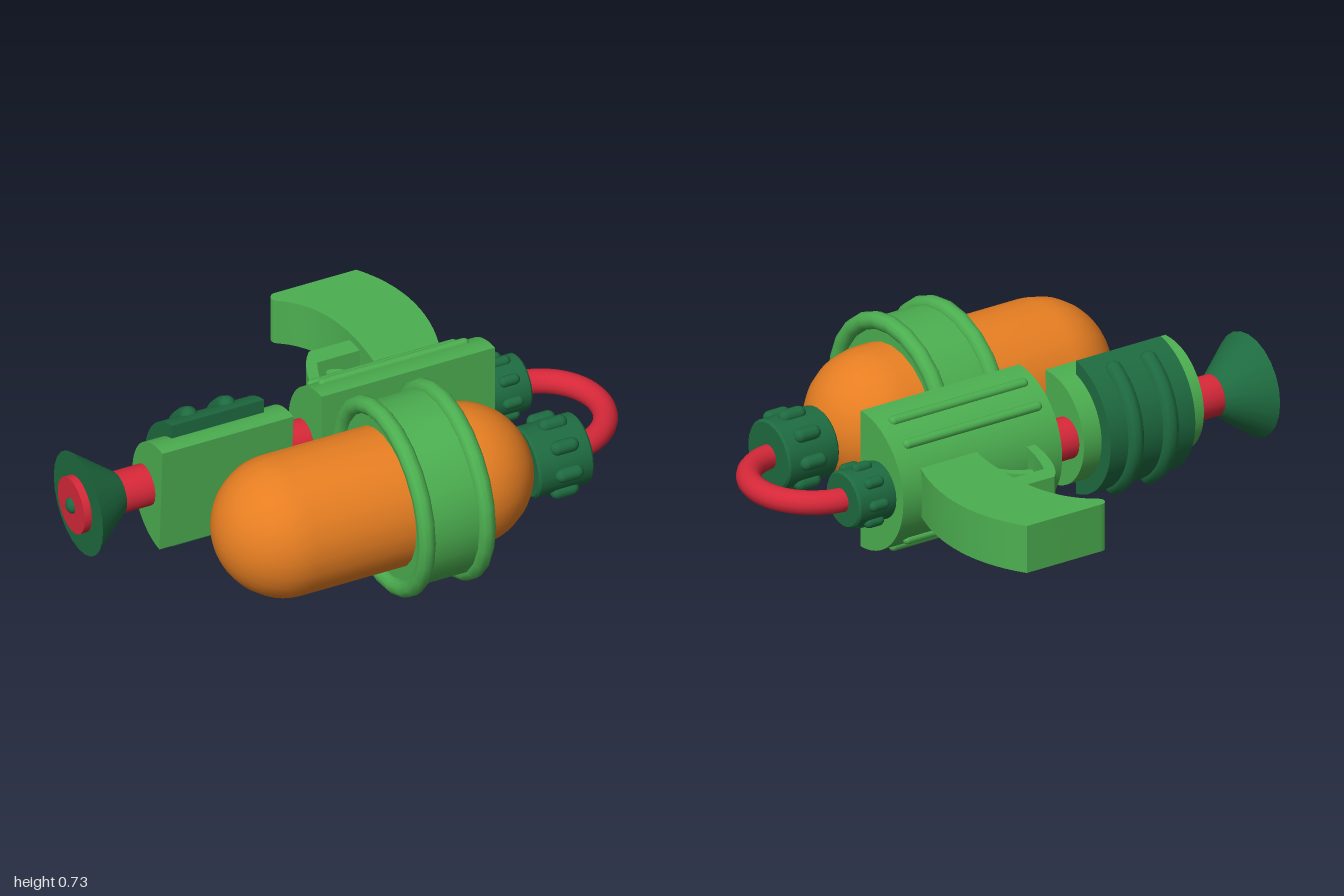
import * as THREE from 'three';
import { toCreasedNormals } from 'three/addons/utils/BufferGeometryUtils.js';

const mat = (color) => new THREE.MeshStandardMaterial({ color });

export function createModel() {
  const root = new THREE.Group();
  const green = mat(0x4caf50), dark = mat(0x1e6b40), orange = mat(0xe67e22), red = mat(0xd62839);
  const AXIS_Y = 0.34, BARREL_Z = -0.062;

  function add(name, geo, material, x = 0, y = 0, z = 0, parent = root) {
    const m = new THREE.Mesh(geo, material);
    m.name = name;
    m.position.set(x, y, z);
    parent.add(m);
    return m;
  }
  // Turned part along x; profile is [radius, x] pairs from low x to high x
  function turned(profile, segments = 24) {
    const geo = new THREE.LatheGeometry(profile.map(([r, x]) => new THREE.Vector2(r, x)), segments);
    return toCreasedNormals(geo.rotateZ(-Math.PI / 2), 0.6);
  }
  const rod = (r, x0, x1, seg) => turned([[0, x0], [r, x0], [r, x1], [0, x1]], seg);

  // Rounded-back section, flat towards +z, extruded along x
  function halfRound(x0, x1, radius, centerZ, flatZ) {
    const d = centerZ - flatZ; // flat face offset from the arc centre
    const s = new THREE.Shape();
    if (d > 0) {
      const a = Math.acos(d / radius);
      s.absarc(0, 0, radius, -a, a, false);
    } else {
      s.moveTo(d, -radius);
      s.absarc(0, 0, radius, -Math.PI / 2, Math.PI / 2, false);
      s.lineTo(d, radius);
    }
    s.closePath();
    const g = new THREE.ExtrudeGeometry(s, { depth: x1 - x0, bevelEnabled: false, curveSegments: 20 });
    g.rotateY(Math.PI / 2).translate(x0, AXIS_Y, centerZ);
    return toCreasedNormals(g, 0.6);
  }
  // Flat outline in plan (x, -z), extruded upwards and centred on the grip height
  function planPart(shape, thickness) {
    const g = new THREE.ExtrudeGeometry(shape, { depth: thickness, bevelEnabled: false, curveSegments: 14 });
    g.rotateX(-Math.PI / 2).translate(0, 0.355 - thickness / 2, 0);
    return toCreasedNormals(g, 0.6);
  }

  // Tank with domed ends
  const tankR = 0.257, tankProfile = [];
  for (let i = 0; i <= 12; i++) {
    const a = (i / 12) * Math.PI / 2;
    tankProfile.push([tankR * Math.sin(a), -0.388 - tankR * Math.cos(a)]);
  }
  for (let i = 0; i <= 12; i++) {
    const a = (i / 12) * Math.PI / 2;
    tankProfile.push([tankR * Math.cos(a), 0.3 + tankR * Math.sin(a)]);
  }
  add('tank', turned(tankProfile, 24), orange, 0, 0.367, 0.41);

  // Band around the tank with two rolled rims
  add('tankBand', rod(0.336, 0, 0.236, 24), green, 0, 0.367, 0.41);
  for (const x of [0.002, 0.236]) {
    add('tankBandRim', new THREE.TorusGeometry(0.334, 0.032, 10, 24).rotateY(Math.PI / 2), green, x, 0.367, 0.41);
  }

  // Knurled couplings at the hose ends
  function coupling(name, x0, x1, r, z, bumpX, bumpLen, bumpR) {
    const g = new THREE.Group();
    g.name = name;
    g.position.set(0, AXIS_Y, z);
    root.add(g);
    const c = 0.008;
    add('couplingBody', turned([[0, x0], [r - c, x0], [r, x0 + c], [r, x1 - c], [r - c, x1], [0, x1]], 24), dark, 0, 0, 0, g);
    for (let i = 0; i < 8; i++) {
      const a = (i * Math.PI) / 4;
      const bump = new THREE.CapsuleGeometry(bumpR, bumpLen - 2 * bumpR, 5, 10).rotateZ(Math.PI / 2);
      add('couplingBump', bump, dark, bumpX, r * Math.cos(a), r * Math.sin(a), g);
    }
  }
  coupling('tankCoupling', 0.545, 0.76, 0.13, 0.41, 0.66, 0.108, 0.026);
  coupling('bodyCoupling', 0.595, 0.76, 0.105, -0.043, 0.68, 0.08, 0.02);

  // Hose looping from body to tank
  const hose = new THREE.TorusGeometry(0.224, 0.044, 14, 28, Math.PI);
  hose.rotateZ(-Math.PI / 2).rotateX(Math.PI / 2);
  add('hose', hose, red, 0.728, 0.338, 0.186);

  // Main body with raised ribs above and below
  add('body', halfRound(-0.07, 0.605, 0.26, 0.07, 0.07), green);
  for (const side of [1, -1]) {
    for (const z of [-0.03, -0.115]) {
      const h = Math.sqrt(0.26 ** 2 - (0.07 - z) ** 2);
      add('bodyRib', new THREE.CapsuleGeometry(0.018, 0.55, 4, 10).rotateZ(Math.PI / 2), green,
        0.26, AXIS_Y + side * h, z);
    }
  }

  // Fore-end with ribbed grip sleeve
  add('foreEnd', halfRound(-0.69, -0.18, 0.21, 0.045, 0.07), green);
  add('gripSleeve', halfRound(-0.615, -0.255, 0.26, 0.04, -0.01), dark);
  const ribR = 0.255, ribTube = 0.033, half = Math.PI / 3;
  for (const x of [-0.51, -0.362]) {
    const rib = new THREE.TorusGeometry(ribR, ribTube, 10, 20, 2 * half);
    rib.rotateZ(-half).rotateY(Math.PI / 2);
    add('gripRib', rib, dark, x, AXIS_Y, 0.04);
    for (const s of [1, -1]) {
      add('gripRibEnd', new THREE.SphereGeometry(ribTube, 12, 8), dark,
        x, AXIS_Y + s * ribR * Math.sin(half), 0.04 - ribR * Math.cos(half));
    }
  }

  // Barrel, flared muzzle and nozzle
  add('barrel', rod(0.076, -0.9, 0, 20), red, 0, AXIS_Y, BARREL_Z);
  add('muzzleCone', turned([[0, -0.952], [0.192, -0.952], [0.076, -0.8], [0, -0.8]], 24), dark, 0, AXIS_Y, BARREL_Z);
  add('muzzleDisc', rod(0.105, -0.98, -0.945, 24), red, 0, AXIS_Y, BARREL_Z);
  add('nozzleTip', new THREE.SphereGeometry(0.03, 14, 10).scale(0.75, 1, 1), dark, -0.977, AXIS_Y, BARREL_Z);

  // Curved handle
  const handle = new THREE.Shape();
  handle.moveTo(0.27, 0.15);
  handle.lineTo(0.285, 0.2);
  handle.bezierCurveTo(0.31, 0.4, 0.305, 0.63, 0.155, 0.728);
  handle.quadraticCurveTo(0.135, 0.745, 0.15, 0.765);
  handle.quadraticCurveTo(0.155, 0.775, 0.175, 0.775);
  handle.lineTo(0.488, 0.775);
  handle.bezierCurveTo(0.6, 0.61, 0.605, 0.4, 0.525, 0.19);
  handle.lineTo(0.51, 0.15);
  handle.closePath();
  add('handle', planPart(handle, 0.18), green);

  // Trigger guard
  const guard = new THREE.Shape();
  guard.moveTo(0.035, 0.16);
  guard.quadraticCurveTo(0.06, 0.36, 0.135, 0.438);
  guard.lineTo(0.31, 0.438);
  guard.lineTo(0.31, 0.365);
  guard.lineTo(0.13, 0.365);
  guard.quadraticCurveTo(0.09, 0.28, 0.07, 0.16);
  guard.closePath();
  add('triggerGuard', planPart(guard, 0.12), green);

  // Trigger
  const trigger = new THREE.Shape();
  trigger.moveTo(0.26, 0.16);
  trigger.quadraticCurveTo(0.24, 0.27, 0.145, 0.305);
  trigger.quadraticCurveTo(0.135, 0.325, 0.16, 0.335);
  trigger.quadraticCurveTo(0.24, 0.32, 0.285, 0.16);
  trigger.closePath();
  add('trigger', planPart(trigger, 0.08), green);

  return root;
}
